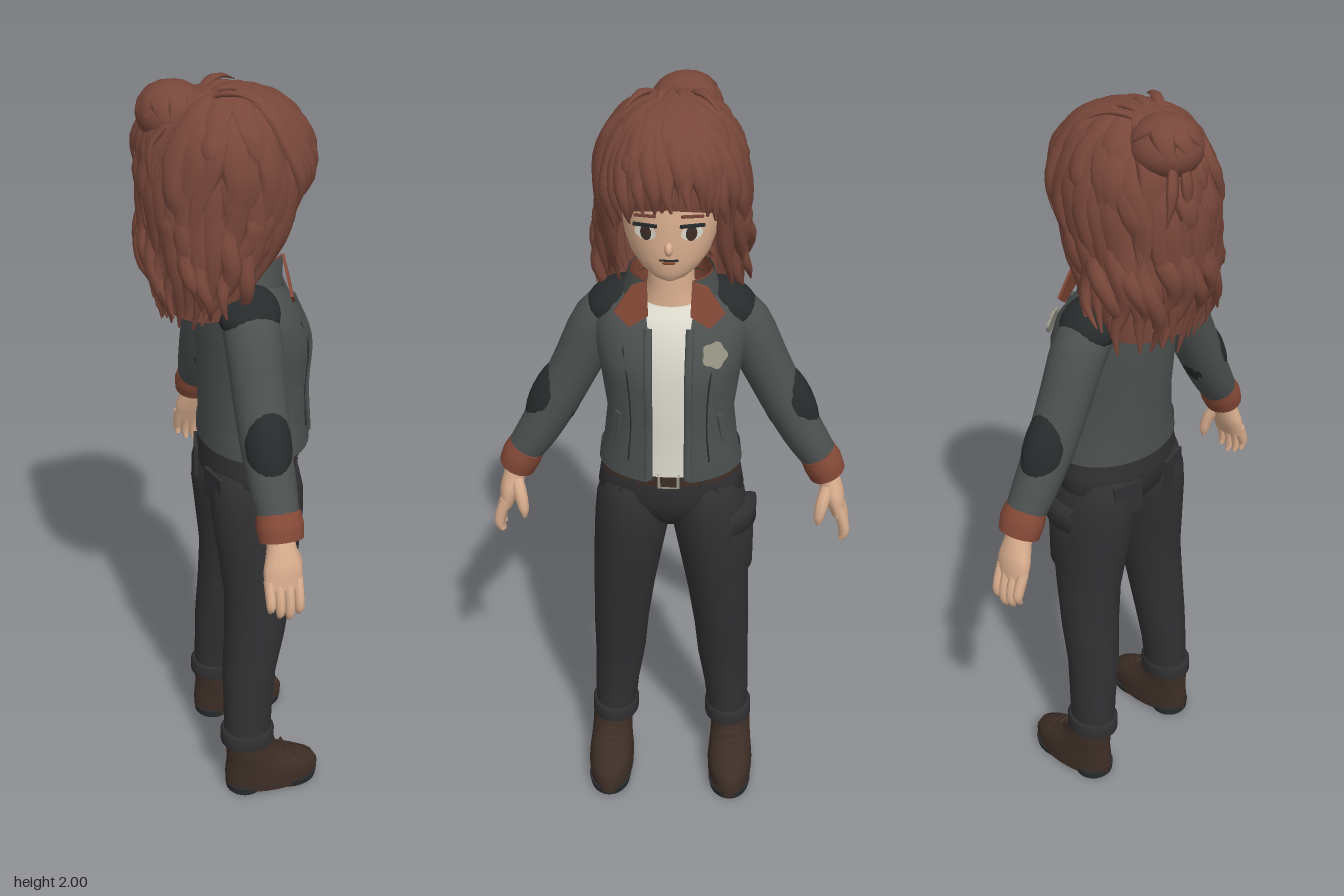
import * as THREE from 'three';

const mat = (name, color) => { const m = new THREE.MeshStandardMaterial({ color, side: THREE.DoubleSide }); m.name = name; return m; };
const M = {
  skin: mat('skin', 0xdcb090), hair: mat('auburn hair', 0x78473a), jacket: mat('grey jacket', 0x4c5150),
  patch: mat('dark patch', 0x282b2c), rust: mat('rust trim', 0x844937), shirt: mat('cream shirt', 0xd9d6ca),
  pants: mat('charcoal trousers', 0x313133), boot: mat('brown leather', 0x3d2e26), badge: mat('badge grey', 0x979585),
};
const V = (x, y, z) => new THREE.Vector3(x, y, z);
const { lerp } = THREE.MathUtils;
let seed = 7;
const rnd = () => (seed = (seed * 16807) % 2147483647) / 2147483647;

// Skin a stack of point rings; ends may be capped
function grid(rings, closed = true) {
  const pos = [], idx = [], n = rings[0].length;
  rings.forEach(r => r.forEach(p => pos.push(p.x, p.y, p.z)));
  for (let i = 0; i < rings.length - 1; i++) for (let j = 0; j < (closed ? n : n - 1); j++) {
    const k = (j + 1) % n, a = i * n + j, b = i * n + k;
    idx.push(a, b, b + n, a, b + n, a + n);
  }
  if (closed) [rings[0], rings[rings.length - 1]].forEach((r, e) => {
    const s = pos.length / 3, c = V(0, 0, 0);
    r.forEach(p => { pos.push(p.x, p.y, p.z); c.addScaledVector(p, 1 / n); });
    pos.push(c.x, c.y, c.z);
    for (let j = 0; j < n; j++) { const k = (j + 1) % n; e ? idx.push(s + j, s + k, s + n) : idx.push(s + k, s + j, s + n); }
  });
  const g = new THREE.BufferGeometry();
  g.setAttribute('position', new THREE.Float32BufferAttribute(pos, 3));
  g.setIndex(idx); g.computeVertexNormals();
  return g;
}
// Horizontal ellipses, listed upwards: [y, cx, cz, rx, rz, front gap angle]
function loft(rows, seg = 28) {
  const open = rows.some(r => r[5]);
  return grid(rows.map(([y, cx, cz, rx, rz, g = 0]) => Array.from({ length: seg + (open ? 1 : 0) }, (_, j) => {
    const t = g + (2 * Math.PI - 2 * g) * j / seg;
    return V(cx + rx * Math.sin(t), y, cz + rz * Math.cos(t));
  })), !open);
}
// Elliptical section along a curve; radii are [along ref, across ref]
function sweep(points, radii, ref, steps = 12, seg = 8) {
  const curve = new THREE.CatmullRomCurve3(points), rings = [];
  for (let i = 0; i <= steps; i++) {
    const u = i / steps, c = curve.getPoint(u), T = curve.getTangent(u);
    const f = u * (radii.length - 1), k = Math.min(Math.floor(f), radii.length - 2);
    const a = lerp(radii[k][0], radii[k + 1][0], f - k), b = lerp(radii[k][1], radii[k + 1][1], f - k);
    const N = ref(c).clone(); N.addScaledVector(T, -N.dot(T)).normalize();
    const B = T.clone().cross(N);
    rings.push(Array.from({ length: seg }, (_, j) => {
      const t = 2 * Math.PI * j / seg;
      return c.clone().addScaledVector(N, a * Math.cos(t)).addScaledVector(B, b * Math.sin(t));
    }));
  }
  return grid(rings);
}
const zRef = () => V(0, 0, 1);

// Hair silhouette rows: y, centre z, rx, rz
const HAIR = [[1.4, -.095, .14, .065], [1.5, -.065, .172, .12], [1.6, -.04, .174, .157], [1.7, -.012, .168, .187],
  [1.8, 0, .168, .203], [1.88, 0, .15, .175], [1.94, 0, .11, .125], [1.97, 0, .058, .066], [1.982, 0, .008, .008]];
function hairPoint(y, t, f) {
  let i = 0;
  while (i < HAIR.length - 2 && y > HAIR[i + 1][0]) i++;
  const A = HAIR[i], B = HAIR[i + 1], u = Math.max(0, (y - A[0]) / (B[0] - A[0]));
  return V(lerp(A[2], B[2], u) * f * Math.sin(t), y, lerp(A[1], B[1], u) + lerp(A[3], B[3], u) * f * Math.cos(t));
}
const outward = p => V(p.x, p.y - Math.min(p.y - .01, 1.78), p.z);

export function createModel() {
  const model = new THREE.Group(), body = new THREE.Group();
  body.name = 'figure'; body.rotation.y = Math.PI / 2; model.add(body);
  const add = (name, geo, m, p = [0, 0, 0], s = [1, 1, 1], r = [0, 0, 0]) => {
    const o = new THREE.Mesh(geo, m); o.name = name;
    o.position.set(...p); o.scale.set(...s); o.rotation.set(...r); body.add(o); return o;
  };
  const ball = new THREE.SphereGeometry(1, 24, 16), box = new THREE.BoxGeometry(1, 1, 1), disc = new THREE.CircleGeometry(1, 20);

  // Trunk
  add('hips', loft([[.875, 0, .055, .03, .05], [.9, 0, .055, .08, .08], [.94, 0, .055, .16, .108], [.985, 0, .055, .188, .123], [1.03, 0, .056, .181, .125], [1.1, 0, .06, .166, .122]]), M.pants);
  add('belt', loft([[1.047, 0, -.06, .179, .131, 1.75], [1.085, 0, -.06, .172, .129, 1.75]]), M.boot, [0, 0, 0], [1, 1, 1], [0, Math.PI, 0]);
  add('buckle', box, M.badge, [0, 1.066, .19], [.055, .042, .009]);
  add('buckleCentre', box, M.boot, [0, 1.066, .193], [.04, .028, .009]);
  add('shirt', loft([[1.08, 0, .07, .162, .127], [1.2, 0, .062, .146, .126], [1.35, 0, .063, .168, .134], [1.45, 0, .045, .165, .112], [1.485, 0, .04, .13, .088], [1.5, 0, .04, .08, .062]]), M.shirt);
  add('jacket', loft([[1.085, 0, .07, .176, .14, .27], [1.13, 0, .069, .168, .138, .28], [1.22, 0, .066, .158, .138, .3], [1.32, 0, .066, .171, .142, .27],
    [1.38, 0, .063, .181, .139, .25], [1.45, 0, .046, .187, .122, .26], [1.5, 0, .03, .165, .1, .35], [1.54, 0, .025, .1, .078, .6]], 40), M.jacket);
  add('jacketHem', loft([[1.072, 0, .07, .181, .143, .28], [1.115, 0, .07, .176, .143, .28]], 40), M.jacket);
  add('neck', loft([[1.46, 0, .03, .085, .07], [1.51, 0, .035, .066, .062], [1.55, 0, .04, .056, .056], [1.66, 0, .045, .054, .055]]), M.skin);
  add('collarOutside', loft([[1.5, 0, .033, .124, .105, .58], [1.58, 0, .042, .103, .1, .58]]), M.jacket);
  add('collarLining', loft([[1.505, 0, .033, .114, .095, .58], [1.581, 0, .042, .098, .095, .58]]), M.rust);
  const flower = new THREE.Shape();
  for (let i = 0; i <= 50; i++) {
    const t = i / 50 * Math.PI * 2, r = .031 + .003 * Math.cos(5 * t);
    i ? flower.lineTo(r * Math.cos(t), r * Math.sin(t)) : flower.moveTo(r, 0);
  }
  add('badge', new THREE.ExtrudeGeometry(flower, { depth: .006, bevelEnabled: false }), M.badge, [.107, 1.412, .17], [1, 1, 1], [-.3, .4, 0]);

  // Head and face
  add('head', loft([[1.588, 0, .115, .02, .026], [1.596, 0, .1, .044, .05], [1.614, 0, .083, .07, .074], [1.645, 0, .068, .094, .094], [1.685, 0, .055, .109, .109],
    [1.73, 0, .05, .116, .114], [1.8, 0, .04, .12, .125], [1.88, 0, .03, .1, .11], [1.93, 0, .02, .05, .05]]), M.skin);
  add('nose', ball, M.skin, [0, 1.678, .166], [.01, .016, .018], [-.3, 0, 0]);
  add('mouth', box, M.patch, [0, 1.649, .161], [.044, .004, .006]);
  add('lowerLip', ball, M.rust, [0, 1.642, .16], [.016, .005, .004]);

  for (const s of [1, -1]) {
    const side = s > 0 ? 'left' : 'right';
    const P = (x, y, z) => V(s * x, y, z);
    // Eyes
    const turn = [0, s * .42, 0];
    add(side + 'Eye', disc, M.shirt, [s * .053, 1.718, .162], [.027, .018, 1], turn);
    add(side + 'Iris', disc, M.boot, [s * .052, 1.718, .1645], [.014, .018, 1], turn);
    add(side + 'Lashes', box, M.patch, [s * .054, 1.735, .161], [.06, .007, .006], [0, s * .42, s * -.06]);
    add(side + 'Eyebrow', box, M.hair, [s * .054, 1.757, .16], [.054, .006, .006], [0, s * .42, s * -.1]);
    // Lapel: a folded collar leaf
    const leaf = new THREE.Shape([[.053, 1.58], [.09, 1.565], [.132, 1.5], [.095, 1.468], [.05, 1.5]].map(q => new THREE.Vector2(s * q[0], q[1])));
    const lg = new THREE.ExtrudeGeometry(leaf, { depth: .007, bevelEnabled: false }), lp = lg.attributes.position;
    for (let i = 0; i < lp.count; i++) lp.setZ(i, lp.getZ(i) + .163 - (lp.getY(i) - 1.468) * .24 - Math.abs(lp.getX(i)) * .25);
    lg.computeVertexNormals();
    add(side + 'Lapel', lg, M.rust);
    // Jacket front edge, seam and welt pocket
    add(side + 'Placket', sweep([P(.048, 1.08, .208), P(.048, 1.22, .199), P(.048, 1.35, .203), P(.05, 1.47, .156)], [[.006, .01], [.006, .01]], zRef), M.jacket);
    add(side + 'PanelSeam', sweep([P(.1, 1.12, .183), P(.092, 1.22, .178), P(.098, 1.34, .183), P(.11, 1.42, .157)], [[.002, .002], [.002, .002]], zRef), M.patch);
    add(side + 'WeltPocket', box, M.jacket, [s * .128, 1.2, .147], [.02, .085, .012], [0, s * .85, s * .2]);
    // Arms
    add(side + 'Sleeve', sweep([P(.115, 1.468, .018), P(.172, 1.43, .015), P(.232, 1.315, .014), P(.287, 1.205, .015), P(.341, 1.11, .018), P(.39, 1.035, .021)],
      [[.066, .055], [.07, .067], [.066, .062], [.063, .058], [.058, .054], [.05, .046]], zRef, 18, 20), M.jacket);
    add(side + 'ShoulderPatch', ball, M.patch, [s * .136, 1.477, .015], [.082, .056, .078], [0, 0, s * -.5]);
    add(side + 'ElbowPatch', ball, M.patch, [s * .294, 1.205, .015], [.065, .13, .06], [0, 0, s * .46]);
    add(side + 'Cuff', sweep([P(.375, 1.058, .021), P(.39, 1.03, .021), P(.404, .998, .021)], [[.055, .048], [.059, .052], [.055, .048]], zRef, 6, 20), M.rust);
    // Hands
    add(side + 'Palm', sweep([P(.395, 1.02, .02), P(.41, .975, .02), P(.425, .93, .02), P(.438, .88, .018)], [[.032, .028], [.038, .03], [.05, .028], [.048, .018]], zRef, 10, 14), M.skin);
    for (let i = 0; i < 4; i++) {
      const z = -.018 + i * .024, end = [.822, .803, .795, .808][i];
      add(side + 'Finger', sweep([P(.435, .905, z), P(.452, .86, z), P(.457, end + .02, z), P(.449, end, z)],
        [[.014, .015], [.013, .015], [.012, .013], [.006, .006]], zRef, 8), M.skin);
    }
    add(side + 'Thumb', sweep([P(.405, .965, .042), P(.394, .925, .062), P(.387, .885, .07), P(.386, .862, .071)], [[.018, .017], [.017, .018], [.014, .014], [.005, .005]], zRef, 8), M.skin);
    // Trousers
    add(side + 'Leg', loft([[.17, s * .162, .015, .056, .066], [.28, s * .156, .018, .062, .068], [.4, s * .144, .024, .07, .074], [.52, s * .138, .04, .075, .083],
      [.65, s * .127, .052, .082, .092], [.78, s * .113, .055, .092, .11], [.88, s * .101, .055, .099, .122], [.95, s * .096, .055, .097, .122], [1.01, s * .09, .055, .085, .11], [1.05, s * .08, .055, .05, .07]]), M.pants);
    add(side + 'TrouserCuff', loft([[.16, s * .163, .015, .06, .07], [.165, s * .163, .015, .066, .076], [.2, s * .162, .015, .066, .076], [.207, s * .162, .015, .06, .07]]), M.pants);
    add(side + 'BackPocket', box, M.pants, [s * .09, .965, -.058], [.085, .09, .012], [0, s * -.25, 0]);
    add(side + 'HipPocketEdge', sweep([P(.11, 1.035, .157), P(.14, .99, .142), P(.184, .965, .09)], [[.003, .003], [.003, .003]], zRef), M.pants);
    add(side + 'BeltLoop', box, M.pants, [s * .085, 1.066, .172], [.014, .055, .012], [0, s * .4, 0]);
    // Boots
    const x = s * .172;
    add(side + 'HeelTread', loft([[0, x, .005, .054, .053], [.022, x, .005, .056, .055]]), M.patch);
    add(side + 'SoleTread', loft([[0, x, .142, .056, .074], [.02, x, .142, .06, .077]]), M.patch);
    add(side + 'Boot', loft([[.008, x, .085, .062, .135], [.045, x, .085, .064, .137], [.07, x, .079, .062, .13], [.09, x, .06, .059, .108],
      [.11, x, .036, .057, .082], [.14, x, .022, .056, .07], [.185, s * .168, .017, .055, .066]]), M.boot);
    for (let i = 0; i < 3; i++) add(side + 'Lace', box, M.boot, [x, .095 + i * .023, .147 - i * .028], [.05, .007, .008], [-.7, 0, 0]);
  }
  // Cargo pocket wrapped round the outside of the left thigh
  const wrap = (name, y0, y1, r, half) => add(name, loft([[y0, .088], [y0 + .006, r], [y1 - .006, r], [y1, .088]].map(([y, q]) => [y, 0, 0, q, q, Math.PI - half])),
    M.pants, [.105, 0, .058], [1, 1, 1], [0, 1.15 - Math.PI, 0]);
  wrap('cargoPocket', .735, .91, .112, .62);
  wrap('cargoFlap', .875, .94, .118, .67);

  // Hair under-layer, open around the face
  const cap = [[1.47, 1.45], [1.55, 1.25], [1.65, .92], [1.75, .8], [1.78, .02], [1.84, .01], [1.9, .01], [1.945, .01], [1.97, .01], [1.981, .01]];
  add('hairBase', grid(cap.map(([y, g]) => Array.from({ length: 41 }, (_, j) => hairPoint(y, g + (2 * Math.PI - 2 * g) * j / 40, .95))), false), M.hair);
  add('crown', ball, M.hair, [0, 1.955, 0], [.075, .03, .085]);
  // Layered locks that fall from the crown
  const lock = (t, top, end, width, lift, curl, swirl) => {
    const ph = rnd() * 6, pts = [];
    for (let k = 0; k <= 7; k++) {
      const u = k / 7;
      pts.push(hairPoint(lerp(top, end, Math.pow(u, 1.4)), t + swirl * u + curl * u * Math.sin(ph + u * 7), lift + curl * .5 * u * Math.sin(ph + u * 9)));
    }
    add('hairLock', sweep(pts, [[.004, width * .4], [.014, width], [.018, width], [.016, width * .75], [.002, .003]], outward, 16, 8), M.hair);
  };
  for (let i = 0; i < 24; i++) { // long
    const t = lerp(.98, 2 * Math.PI - .98, i / 23), back = (1 - Math.cos(t)) / 2;
    lock(t, 1.93, lerp(1.54, 1.405, back) + rnd() * .05, .034, .98, .12, 0);
  }
  for (let i = 0; i < 24; i++) // middle
    lock(lerp(.9, 2 * Math.PI - .9, (i + .5) / 24), 1.978, 1.56 + rnd() * .14, .036, .98 + rnd() * .05, .1, (rnd() - .5) * .4);
  for (let i = 0; i < 18; i++) // lower waves
    lock(lerp(1.25, 2 * Math.PI - 1.25, i / 17), 1.74, 1.42 + rnd() * .09, .025, 1.02, .22, 0);
  for (let i = 0; i < 13; i++) // short crown layer
    lock(i / 13 * Math.PI * 2, 1.98, 1.78 + rnd() * .08, .034, 1 + rnd() * .04, .08, .5 * (rnd() - .3));
  for (let i = 0; i < 15; i++) { // fringe
    const t = lerp(-.9, .9, i / 14);
    lock(t - .1, 1.978, 1.79 - t * t * .11 + rnd() * .025 - .01, .028, 1.02 + rnd() * .04, .06, .15);
  }
  // Bun with wrapped strands and loose ends
  const c = V(.03, 1.922, -.122);
  add('bun', ball, M.hair, c.toArray(), [.086, .066, .084]);
  for (let i = 0; i < 5; i++) {
    const a = i / 5 * Math.PI + .3, pts = [];
    for (let k = 0; k <= 6; k++) {
      const b = lerp(-1.5, 1.5, k / 6), w = a + b * .35;
      pts.push(V(c.x + .084 * Math.sin(b) * Math.cos(w), c.y + .064 * Math.cos(b), c.z + .082 * Math.sin(b) * Math.sin(w)));
    }
    add('bunStrand', sweep(pts, [[.004, .012], [.011, .034], [.011, .034], [.004, .012]], p => p.clone().sub(c), 14), M.hair);
  }
  for (let i = 0; i < 4; i++) {
    const q = (i - 1.5) * .035;
    add('looseStrand', sweep([V(q * .5, 1.95, -.06), V(q, 1.98, -.03), V(q * 1.5, 1.984, .01), V(q * 2, 1.965, .05)], [[.006, .012], [.008, .014], [.001, .002]], () => V(0, 1, .1), 10, 6), M.hair);
    add('bunEnd', sweep([V(q, 1.92, -.16), V(q * 1.3 + .02, 1.88, -.19), V(q * 1.6 + .02, 1.83, -.2), V(q * 1.8 + .02, 1.78, -.195)], [[.008, .014], [.01, .018], [.001, .002]], () => V(0, .3, -1), 10, 6), M.hair);
  }
  return model;
}
